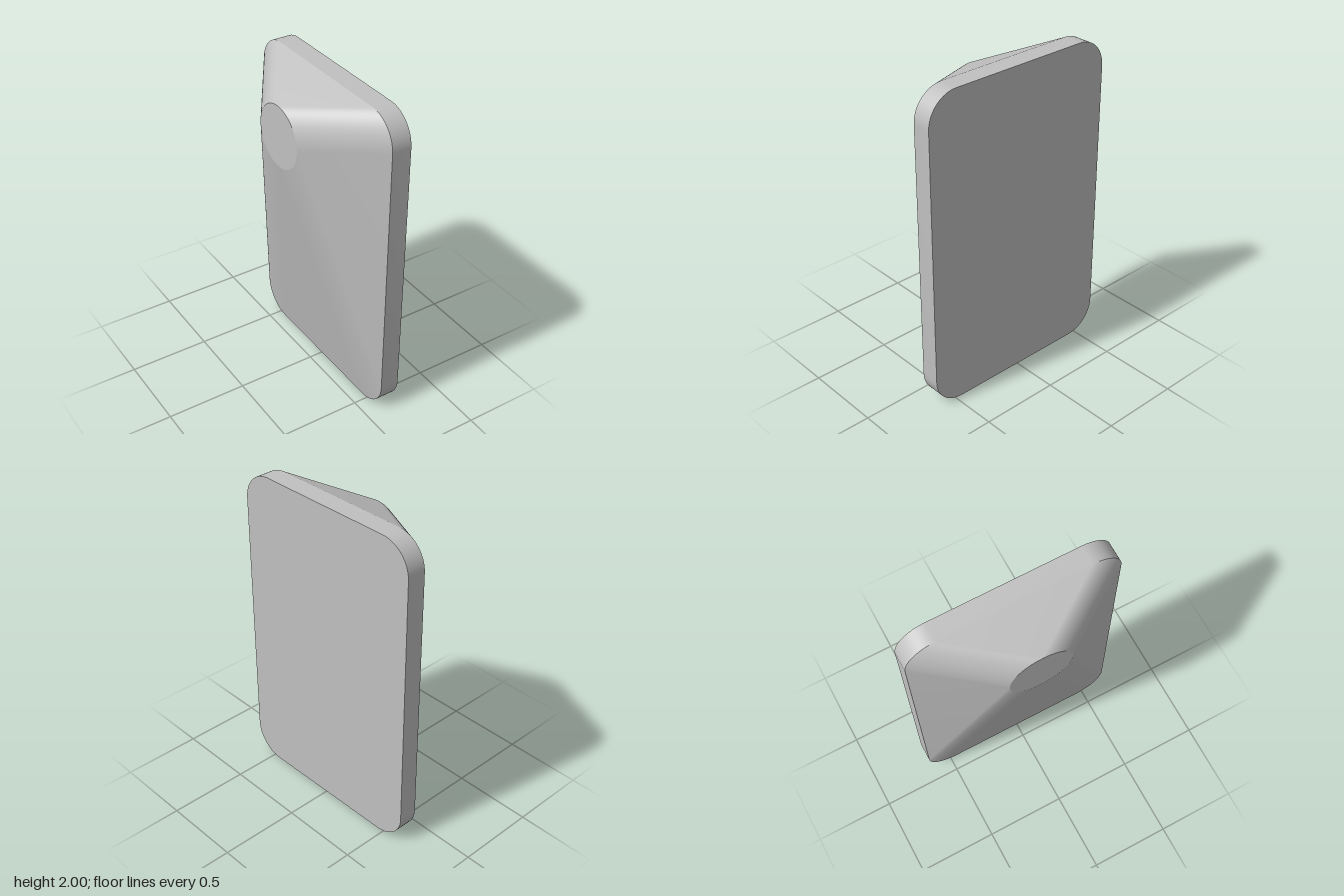
import * as THREE from 'three';
import { toCreasedNormals } from 'three/addons/utils/BufferGeometryUtils.js';

const R = 0.19; // shared radius of the plate corners and the tip
const STEPS = 20; // segments per quarter arc

// Rounded-rectangle ring at a given x; zero half sizes give a circle.
function ring(x, cy, halfY, halfZ) {
  const signs = [[1, 1], [1, -1], [-1, -1], [-1, 1]];
  const pts = [];
  signs.forEach(([sy, sz], q) => {
    for (let i = 0; i <= STEPS; i++) {
      const a = (q + i / STEPS) * Math.PI / 2;
      pts.push(new THREE.Vector3(x, cy + sy * halfY + R * Math.sin(a), sz * halfZ + R * Math.cos(a)));
    }
  });
  return pts;
}

// Geometry from triangles, leaving out those without area.
function fromTriangles(tris) {
  const pos = [];
  for (const [a, b, c] of tris) {
    if (new THREE.Triangle(a, b, c).getArea() < 1e-7) continue;
    for (const p of [a, b, c]) pos.push(p.x, p.y, p.z);
  }
  const g = new THREE.BufferGeometry();
  g.setAttribute('position', new THREE.Float32BufferAttribute(pos, 3));
  g.computeVertexNormals();
  return g;
}

// Wall between two rings, a being at the lower x.
function wall(a, b) {
  const tris = [];
  for (let i = 0; i < a.length; i++) {
    const j = (i + 1) % a.length;
    tris.push([a[i], b[i], a[j]], [b[i], b[j], a[j]]);
  }
  return toCreasedNormals(fromTriangles(tris), 0.5);
}

// Flat cap closing a ring.
function cap(r, facesPositiveX) {
  const centre = r.reduce((s, p) => s.add(p), new THREE.Vector3()).divideScalar(r.length);
  return fromTriangles(r.map((p, i) => {
    const n = r[(i + 1) % r.length];
    return facesPositiveX ? [centre, n, p] : [centre, p, n];
  }));
}

export function createModel() {
  const group = new THREE.Group();
  const grey = new THREE.MeshStandardMaterial({ color: 0xc0c0c0 });
  grey.name = 'grey';

  const tip = ring(-0.208, 1.693, 0, 0);
  const inner = ring(0.088, 1, 1 - R, 0.644 - R);
  const outer = ring(0.208, 1, 1 - R, 0.644 - R);

  const parts = {
    tipFace: cap(tip, false),
    taperedBody: wall(tip, inner),
    plateRim: wall(inner, outer),
    plateFace: cap(outer, true),
  };
  for (const [name, geometry] of Object.entries(parts)) {
    const mesh = new THREE.Mesh(geometry, grey);
    mesh.name = name;
    group.add(mesh);
  }
  return group;
}
